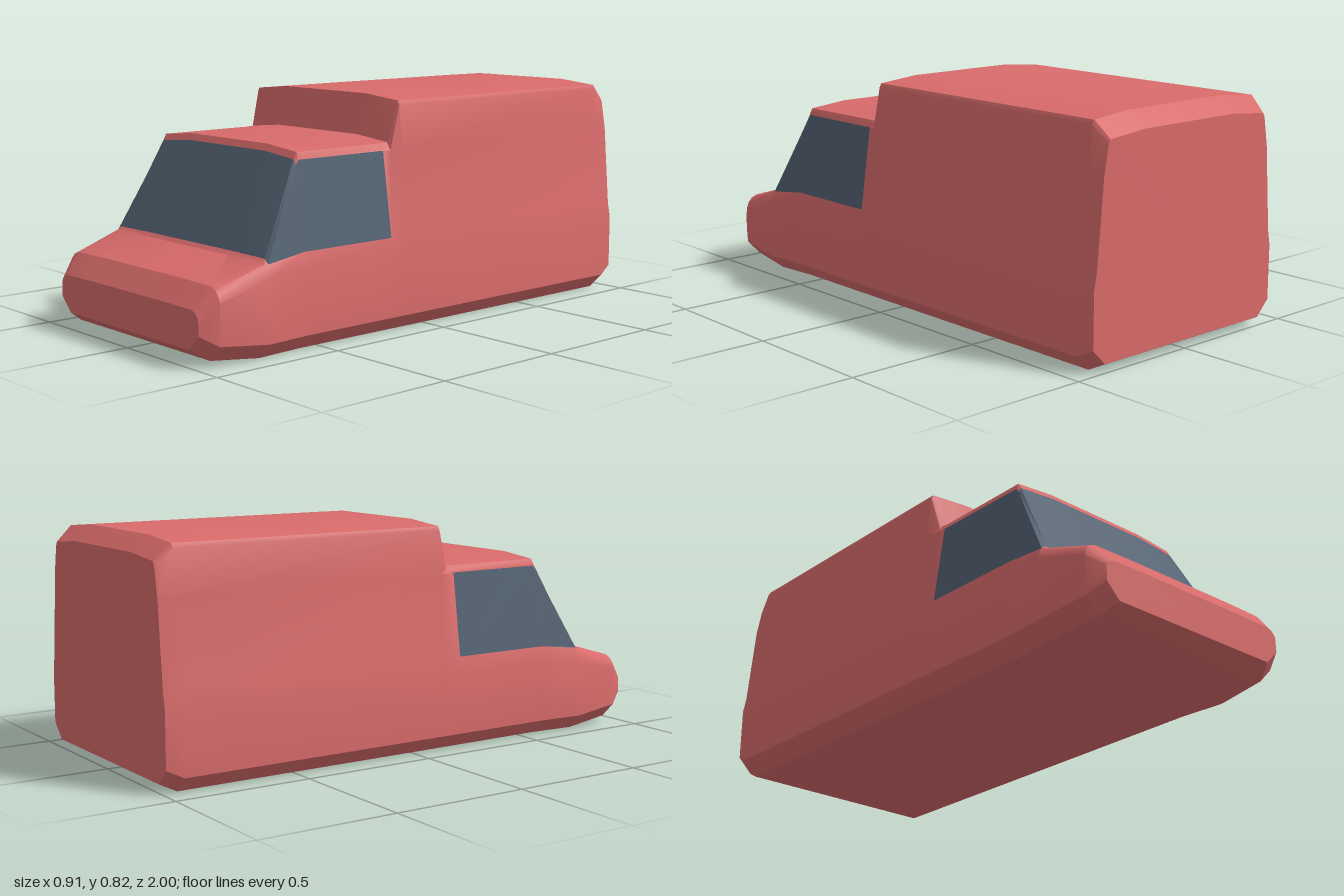
import * as THREE from 'three';
import { toCreasedNormals } from 'three/addons/utils/BufferGeometryUtils.js';

// Cross-sections from nose to tail:
// z, floor y, sill half width, belt y, window foot x y, window head x y, roof half width, roof y
const SECTIONS = [
  [1.0, 0.06, 0.405, 0.165, 0.4, 0.175, 0.39, 0.185, 0.375, 0.195],
  [0.94, 0.02, 0.44, 0.215, 0.43, 0.24, 0.415, 0.255, 0.4, 0.267],
  [0.755, 0, 0.455, 0.27, 0.437, 0.31, 0.432, 0.314, 0.415, 0.32],
  [0.742, 0, 0.455, 0.275, 0.437, 0.315, 0.434, 0.318, 0.42, 0.333], // windscreen foot
  [0.58, 0, 0.443, 0.28, 0.428, 0.335, 0.382, 0.617, 0.38, 0.652], // windscreen head
  [0.567, 0, 0.443, 0.28, 0.428, 0.335, 0.382, 0.635, 0.38, 0.675], // cab roof
  [0.19, 0, 0.445, 0.28, 0.43, 0.335, 0.386, 0.635, 0.38, 0.675],
  [0.16, 0, 0.445, 0.28, 0.432, 0.335, 0.392, 0.635, 0.382, 0.677],
  [0.12, 0, 0.446, 0.28, 0.436, 0.335, 0.408, 0.635, 0.393, 0.82], // load box
  [-0.94, 0, 0.45, 0.28, 0.438, 0.335, 0.408, 0.635, 0.393, 0.82],
  [-1.0, 0.03, 0.437, 0.28, 0.426, 0.335, 0.4, 0.635, 0.382, 0.765],
];

// Closed ring: floor centre, up the left side, over the roof, down the right side
function ring([z, y0, w, y3, x4, y4, x5, y5, xr, yr]) {
  const drop = Math.min(0.015, (yr - y4) * 0.1);
  const chamfer = Math.min(0.055, (y3 - y0) * 0.5);
  const half = [
    [0, y0], [w - chamfer, y0], [w, y0 + chamfer], [w, y3], [x4, y4], [x5, y5],
    [xr, yr - 2 * drop], [xr - 0.008, yr - drop], [xr * 0.57, yr], [0, yr],
  ];
  const mirrored = half.slice(1, -1).reverse().map(([x, y]) => [-x, y]);
  return half.concat(mirrored).map(([x, y]) => new THREE.Vector3(x, y, z));
}

// Glass wraps the windscreen and runs along both cab sides
function isGlass(k, i) {
  const row = i < 9 ? i : 17 - i;
  return (k === 3 && row >= 4) || ((k === 4 || k === 5) && row === 4);
}

function meshFrom(points, material, name) {
  const geometry = toCreasedNormals(new THREE.BufferGeometry().setFromPoints(points), 0.5);
  const mesh = new THREE.Mesh(geometry, material);
  mesh.name = name;
  return mesh;
}

export function createModel() {
  const paint = new THREE.MeshStandardMaterial({ color: 0xd96b6b });
  paint.name = 'red paint';
  const glass = new THREE.MeshStandardMaterial({ color: 0x546373 });
  glass.name = 'dark glass';

  const rings = SECTIONS.map(ring);
  const n = rings[0].length;
  const body = [], windscreen = [], sideWindows = [];

  // Skin between neighbouring sections
  for (let k = 0; k < rings.length - 1; k++) {
    for (let i = 0; i < n; i++) {
      const j = (i + 1) % n;
      const a = rings[k][i], b = rings[k][j], c = rings[k + 1][j], d = rings[k + 1][i];
      const row = i < 9 ? i : 17 - i;
      const target = !isGlass(k, i) ? body : row === 4 ? sideWindows : windscreen;
      target.push(a, d, c, a, c, b);
    }
  }

  // Flat nose and tail
  const caps = [[rings[0], false], [rings[rings.length - 1], true]];
  for (const [r, back] of caps) {
    const centre = new THREE.Vector3(0, (r[0].y + r[9].y) / 2, r[0].z);
    for (let i = 0; i < n; i++) {
      const j = (i + 1) % n;
      if (back) body.push(centre, r[j], r[i]);
      else body.push(centre, r[i], r[j]);
    }
  }

  const group = new THREE.Group();
  group.name = 'van';
  group.add(
    meshFrom(body, paint, 'body'),
    meshFrom(windscreen, glass, 'windscreen'),
    meshFrom(sideWindows, glass, 'sideWindows'),
  );
  return group;
}
